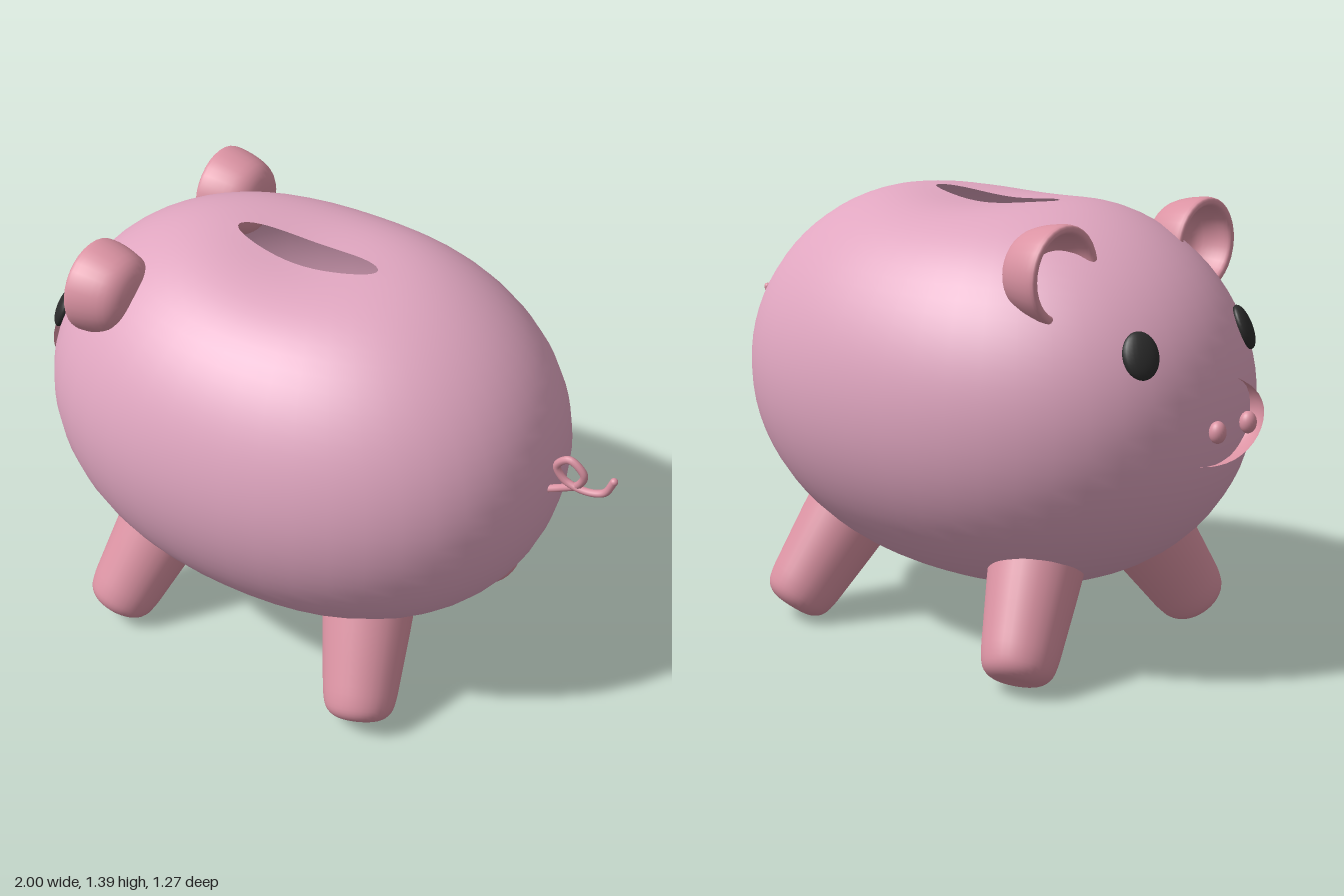
import * as THREE from 'three';
import { mergeVertices } from 'three/addons/utils/BufferGeometryUtils.js';

const V = (x, y, z) => new THREE.Vector3(x, y, z);
const skin = new THREE.MeshStandardMaterial({ color: 0xe0a6c0, side: THREE.DoubleSide });
const rose = new THREE.MeshStandardMaterial({ color: 0xdb93a3 });
const black = new THREE.MeshStandardMaterial({ color: 0x2b2b2b });

function add(group, name, geometry, material) {
  const mesh = new THREE.Mesh(geometry, material);
  mesh.name = name;
  group.add(mesh);
  return mesh;
}

// Smooth turned solid through a few [radius, height] points
function turned(profile) {
  const curve = new THREE.SplineCurve(profile.map(([r, h]) => new THREE.Vector2(r, h)));
  const points = curve.getPoints(profile.length * 3).map(p => p.setX(Math.max(p.x, 0)));
  return new THREE.LatheGeometry(points, 32);
}

// Hollow barrel whose top ring opens into the coin slot
function bodyGeometry() {
  const geo = new THREE.SphereGeometry(1, 48, 40, 0, Math.PI * 2, 0.002, Math.PI - 0.002);
  const pos = geo.attributes.position, uv = geo.attributes.uv;
  const power = 2.2;
  for (let i = 0; i < pos.count; i++) {
    let x = pos.getX(i), y = pos.getY(i), z = pos.getZ(i);
    if (y > 0) {
      const s = Math.hypot(x, z), phi = uv.getX(i) * Math.PI * 2;
      x = -Math.cos(phi) * THREE.MathUtils.lerp(0.282, 1, s);
      z = Math.sin(phi) * THREE.MathUtils.lerp(0.102, 1, s);
      y = Math.sqrt(Math.max(0, 1 - x * x - z * z));
    }
    // Fuller ends than a plain ellipsoid
    const k = Math.pow(Math.pow(Math.abs(x), power) + Math.pow(Math.hypot(y, z), power), -1 / power);
    x *= 0.86 * k; y *= 0.635 * k; z *= 0.635 * k;
    // Shallow dip around the slot
    if (y > 0) y -= 0.08 * Math.min(1, y / 0.2) * Math.exp(-(x * x + z * z) / 0.084);
    pos.setXYZ(i, x, y, z);
  }
  geo.deleteAttribute('uv');
  geo.deleteAttribute('normal');
  const merged = mergeVertices(geo, 1e-5);
  merged.computeVertexNormals();
  return merged;
}

export function createModel() {
  const pig = new THREE.Group();
  pig.name = 'piggyBank';

  add(pig, 'body', bodyGeometry(), skin).position.set(-0.07, 0.81, 0);

  // Snout disc and nostrils, facing -x
  const snout = add(pig, 'snout', turned([
    [0, 0.08], [0.35, 0.08], [0.68, 0.078], [0.85, 0.066], [0.96, 0.035], [1, 0], [0.96, -0.04], [0.8, -0.06], [0, -0.06],
  ]), rose);
  snout.rotation.z = Math.PI / 2;
  snout.scale.set(0.13, 1, 0.2);
  snout.position.set(-0.9, 0.81, 0);

  const legGeo = turned([
    [0, 0], [0.035, 0], [0.07, 0.003], [0.1, 0.024], [0.115, 0.065], [0.125, 0.15], [0.145, 0.36], [0.14, 0.42], [0, 0.43],
  ]);
  const earGeo = turned([
    [0, -0.165], [0.07, -0.158], [0.115, -0.125], [0.138, -0.06], [0.145, 0],
    [0.132, 0.01], [0.119, 0], [0.11, -0.05], [0.08, -0.1], [0, -0.125],
  ]);
  const ball = new THREE.SphereGeometry(1, 24, 16);

  for (const side of [1, -1]) {
    const label = side > 0 ? 'Near' : 'Far';

    const nostril = add(pig, 'nostril' + label, ball, rose);
    nostril.scale.set(0.025, 0.033, 0.026);
    nostril.position.set(-0.975, 0.805, side * 0.075);

    // Flat oval eyes lying on the body surface
    const eye = add(pig, 'eye' + label, ball, black);
    eye.scale.set(0.055, 0.07, 0.025);
    eye.position.set(-0.83, 1.035, side * 0.25);
    eye.lookAt(eye.position.clone().add(V(-1, 0.49, side * 0.55)));

    // Cupped ears opening towards the snout
    const ear = add(pig, 'ear' + label, earGeo, rose);
    ear.rotation.z = Math.PI / 2;
    ear.position.set(-0.62, 1.245, side * 0.335);

    // Splayed tapered legs
    for (const end of [-1, 1]) {
      const leg = add(pig, (end < 0 ? 'frontLeg' : 'backLeg') + label, legGeo, rose);
      const foot = V(-0.07 + end * 0.48, 0.043, side * 0.452);
      const hip = V(-0.07 + end * 0.4, 0.325, side * 0.27);
      leg.position.copy(foot);
      leg.quaternion.setFromUnitVectors(V(0, 1, 0), hip.sub(foot).normalize());
    }
  }

  // Curly tail with rounded tip
  const path = new THREE.CatmullRomCurve3([
    V(0.76, 0.825, 0), V(0.83, 0.86, 0), V(0.885, 0.9, 0.008), V(0.902, 0.95, 0.016), V(0.855, 0.988, 0.02),
    V(0.815, 0.95, 0.018), V(0.843, 0.902, 0.012), V(0.91, 0.885, 0.006), V(0.965, 0.9, 0), V(0.99, 0.95, -0.003),
  ]);
  add(pig, 'tail', new THREE.TubeGeometry(path, 80, 0.012, 10), rose);
  const tip = add(pig, 'tailTip', ball, rose);
  tip.scale.setScalar(0.012);
  tip.position.copy(path.getPoint(1));

  return pig;
}
